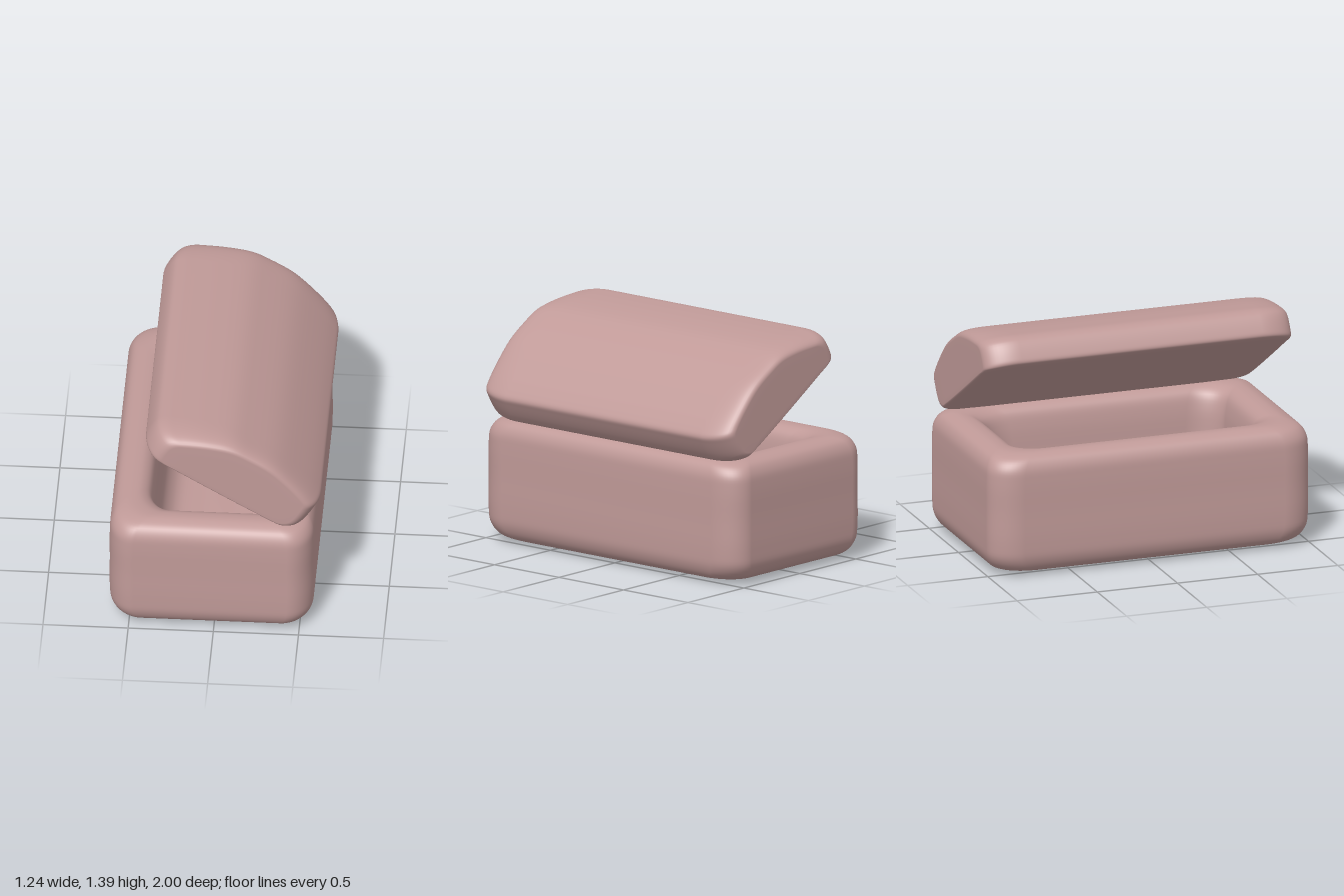
import * as THREE from 'three';

const material = new THREE.MeshStandardMaterial({ color: 0xc09a98 });

// Skin a list of closed rings (equal point counts) into one smooth surface.
function loft(rings) {
  const n = rings[0].length;
  const index = [];
  for (let i = 0; i < rings.length - 1; i++) {
    for (let j = 0; j < n; j++) {
      const a = i * n + j, b = i * n + (j + 1) % n;
      index.push(a, a + n, b + n, a, b + n, b);
    }
  }
  const geometry = new THREE.BufferGeometry().setFromPoints(rings.flat());
  geometry.setIndex(index);
  geometry.computeVertexNormals();
  return geometry;
}

// Horizontal rounded rectangle with half sizes hx, hz at height y.
function rectRing(hx, hz, y, steps = 12) {
  const rx = Math.min(0.15, hx * 0.5), rz = Math.min(0.19, hz * 0.5);
  const ring = [];
  for (let c = 0; c < 4; c++) {
    const sx = c === 0 || c === 3 ? 1 : -1, sz = c < 2 ? 1 : -1;
    for (let k = 0; k <= steps; k++) {
      const a = (c + k / steps) * Math.PI / 2;
      ring.push(new THREE.Vector3(
        sx * (hx - rx) + rx * Math.cos(a), y, sz * (hz - rz) + rz * Math.sin(a)));
    }
  }
  return ring;
}

function createBase() {
  // Half width, half depth, height: underside, outer wall, rim, then the hollow.
  const profile = [
    [0, 0, 0], [0.22, 0.4, 0], [0.42, 0.74, 0.001], [0.5, 0.88, 0.014],
    [0.56, 0.955, 0.045], [0.592, 0.992, 0.11], [0.6, 1, 0.2], [0.6, 1, 0.4],
    [0.6, 1, 0.58], [0.594, 0.992, 0.66], [0.568, 0.962, 0.712],
    [0.52, 0.905, 0.738], [0.47, 0.855, 0.742], [0.42, 0.805, 0.73],
    [0.38, 0.76, 0.69], [0.36, 0.735, 0.6], [0.35, 0.72, 0.42],
    [0.33, 0.68, 0.25], [0.27, 0.59, 0.16], [0.15, 0.38, 0.13], [0, 0, 0.13],
  ].map(p => new THREE.Vector3(...p));
  const rings = new THREE.CatmullRomCurve3(profile).getPoints(90)
    .map(p => rectRing(p.x, p.y, p.z));
  const base = new THREE.Mesh(loft(rings), material);
  base.name = 'hollowBase';
  base.position.x = -0.02;
  return base;
}

function createLid() {
  // Side outline of the raised, arched lid.
  const outline = [
    [-0.41, 1.258], [-0.398, 1.295], [-0.345, 1.37], [-0.3, 1.388], [-0.22, 1.387],
    [-0.05, 1.37], [0.1, 1.337], [0.22, 1.275], [0.36, 1.185], [0.48, 1.07],
    [0.59, 0.94], [0.617, 0.89], [0.6, 0.85], [0.535, 0.755], [0.5, 0.733],
    [0.44, 0.73], [0.38, 0.76], [0, 0.99], [-0.3, 1.178], [-0.385, 1.231],
  ].map(p => new THREE.Vector3(p[0], p[1], 0));
  const points = new THREE.CatmullRomCurve3(outline, true).getPoints(100).slice(0, -1);

  // Scale the outline along and across the lid, about its middle.
  const centre = new THREE.Vector3(0.14, 1.04, 0);
  const along = new THREE.Vector3(-0.85, 0.53, 0).normalize();
  const across = new THREE.Vector3(-along.y, along.x, 0).negate();
  const section = (z, su, sv) => points.map(p => {
    const d = p.clone().sub(centre);
    const q = centre.clone()
      .addScaledVector(along, d.dot(along) * su)
      .addScaledVector(across, d.dot(across) * sv);
    return q.setZ(z);
  });

  // One rounded end from the middle outwards, mirrored for the other end.
  const end = [[0.3, 1, 1], [0.6, 1, 1]];
  const steps = 12;
  for (let k = 0; k <= steps; k++) {
    const a = k / steps * Math.PI / 2, drop = 1 - Math.cos(a);
    end.push([0.75 + 0.21 * Math.sin(a), 1 - 0.2 * drop, 1 - 0.18 * drop * drop]);
  }
  end.push([0.96, 0.6, 0.6], [0.96, 0.3, 0.3], [0.96, 0, 0]);
  const mirrored = end.map(([z, u, v]) => [-z, u, v]).reverse();
  const rings = [...mirrored, ...end].map(s => section(...s));
  const lid = new THREE.Mesh(loft(rings), material);
  lid.name = 'openLid';
  return lid;
}

export function createModel() {
  const model = new THREE.Group();
  model.name = 'openChest';
  model.add(createBase(), createLid());
  return model;
}
